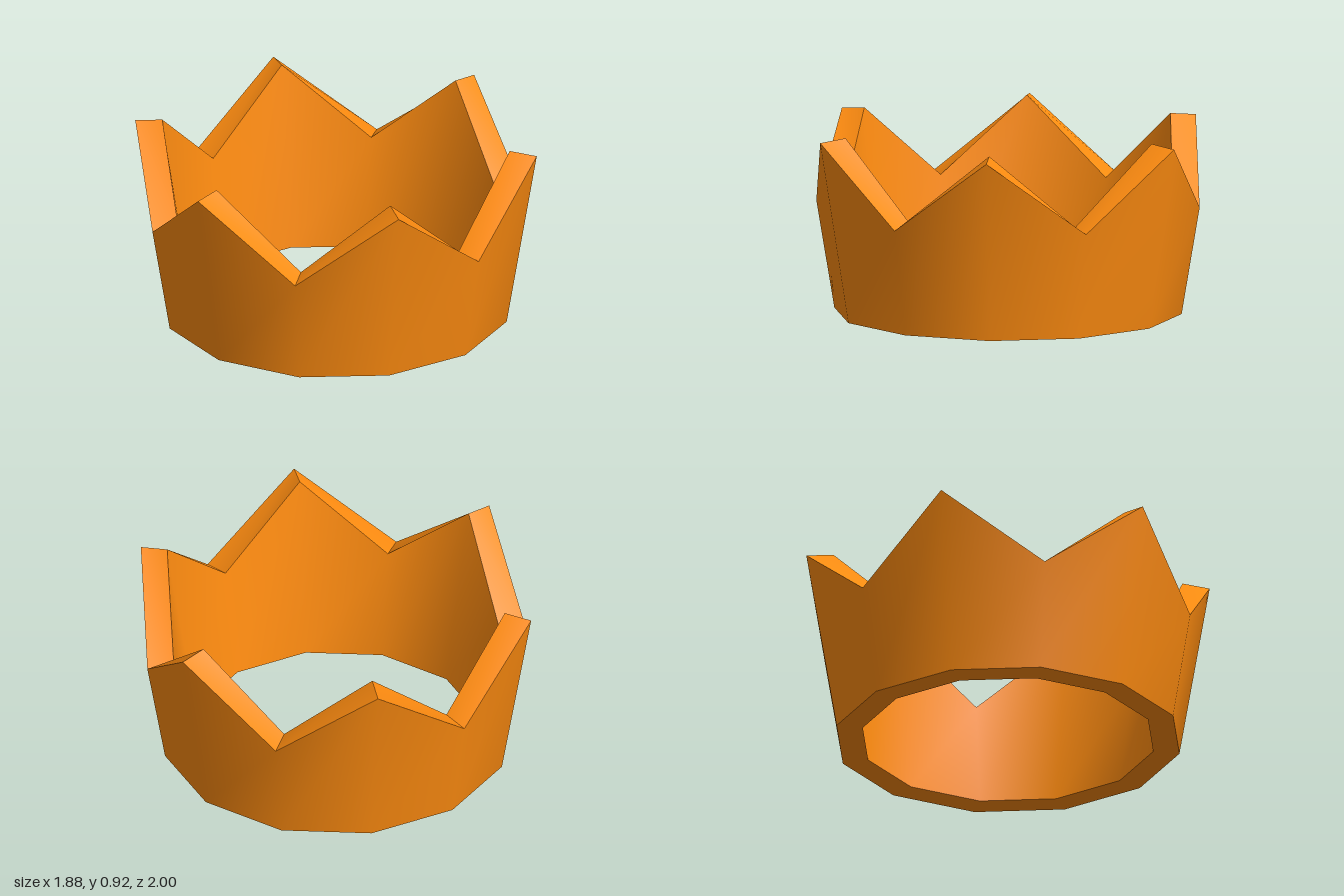
import * as THREE from 'three';
import { toCreasedNormals } from 'three/addons/utils/BufferGeometryUtils.js';

const SIDES = 12;

// Wall cross-section [radius, y]: outer bottom, outer top, inner top, inner bottom
const PEAK = [[0.85, 0], [1, 0.9], [0.865, 0.915], [0.72, 0]];
const VALLEY = [[0.85, 0], [0.938, 0.528], [0.807, 0.543], [0.72, 0]];

function crownGeometry() {
  const positions = [];
  const indices = [];
  // Alternate peak and valley sections around the ring
  for (let i = 0; i < SIDES; i++) {
    const angle = (i / SIDES) * Math.PI * 2;
    for (const [r, y] of i % 2 ? VALLEY : PEAK) {
      positions.push(r * Math.sin(angle), y, r * Math.cos(angle));
    }
  }
  // Join neighbouring sections: outer wall, top rim, inner wall, underside
  for (let i = 0; i < SIDES; i++) {
    const next = (i + 1) % SIDES;
    for (let j = 0; j < 4; j++) {
      const k = (j + 1) % 4;
      const a = i * 4 + j, b = next * 4 + j, c = next * 4 + k, d = i * 4 + k;
      indices.push(a, b, c, a, c, d);
    }
  }
  const geometry = new THREE.BufferGeometry();
  geometry.setAttribute('position', new THREE.Float32BufferAttribute(positions, 3));
  geometry.setIndex(indices);
  // Smooth walls, sharp rims
  return toCreasedNormals(geometry, THREE.MathUtils.degToRad(40));
}

export function createModel() {
  const group = new THREE.Group();
  group.name = 'crown';
  const band = new THREE.Mesh(
    crownGeometry(),
    new THREE.MeshStandardMaterial({ color: 0xff8c10 })
  );
  band.name = 'crownBand';
  group.add(band);
  return group;
}
